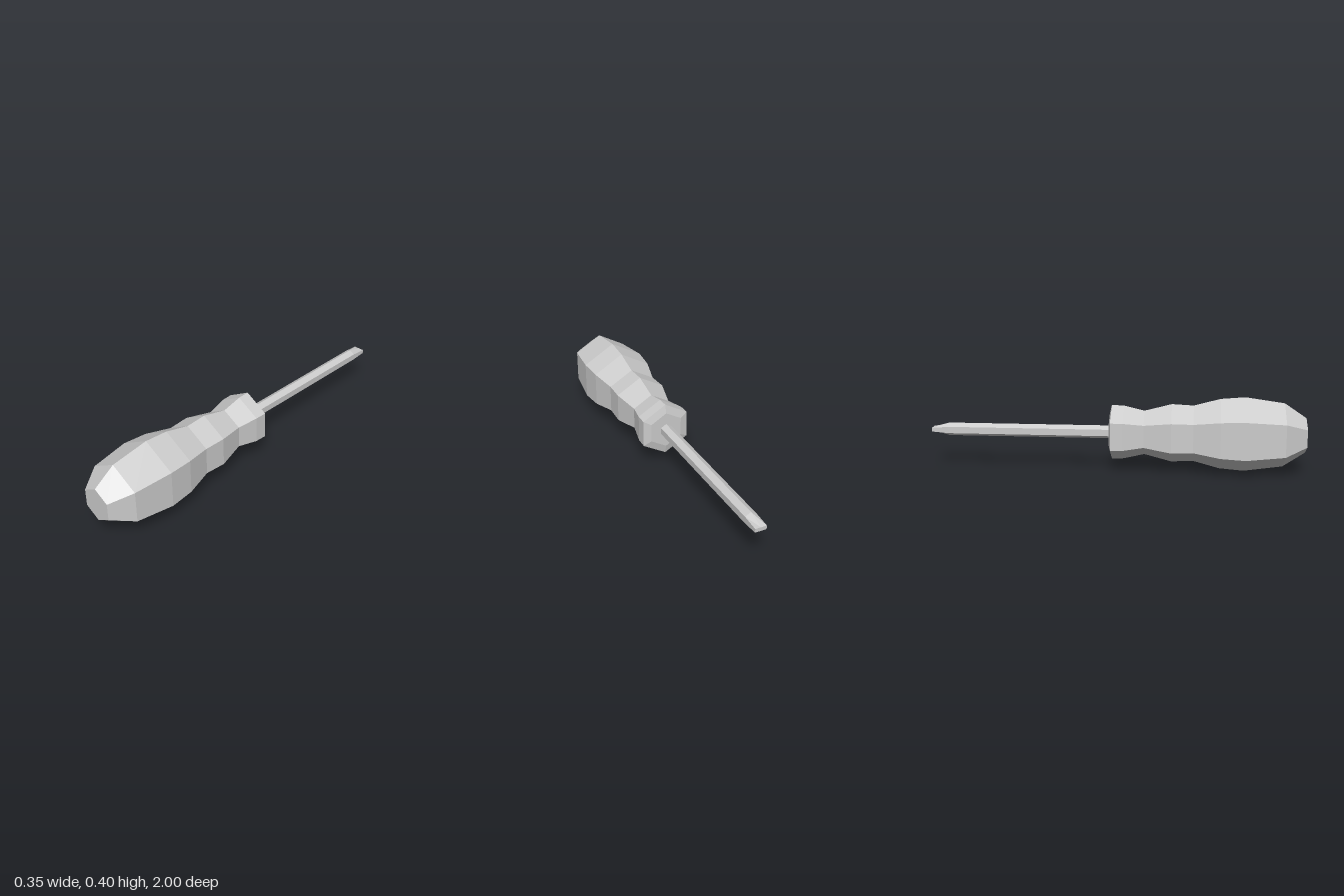
import * as THREE from 'three';

// Six-sided solid along z from [radius, z] pairs in ascending z, ridges up and down
function hexBar(name, profile, axisY) {
  const pts = profile.map(([r, z]) => new THREE.Vector2(r, z));
  const geometry = new THREE.LatheGeometry(pts, 6);
  geometry.rotateX(Math.PI / 2);
  const material = new THREE.MeshStandardMaterial({ color: 0xcccccc, flatShading: true });
  const mesh = new THREE.Mesh(geometry, material);
  mesh.name = name;
  mesh.position.y = axisY;
  return mesh;
}

export function createModel() {
  const group = new THREE.Group();
  group.name = 'screwdriver';
  const axisY = 0.2;

  // Faceted grip with a collar, two waists and a swollen butt
  const handle = hexBar('handle', [
    [0, -0.035], [0.1, -0.035], [0.147, -0.024], [0.145, 0.04], [0.119, 0.15],
    [0.157, 0.295], [0.151, 0.41], [0.189, 0.55], [0.2, 0.68], [0.171, 0.885],
    [0.093, 1], [0, 1],
  ], axisY);

  // Hexagonal shaft running to the blade
  const shaft = hexBar('shaft', [
    [0, -1], [0.035, -1], [0.035, -0.91], [0.035, 0], [0, 0],
  ], axisY);

  // Flatten the far end into a thin blade tip
  const pos = shaft.geometry.attributes.position;
  for (let i = 0; i < pos.count; i++) {
    if (pos.getZ(i) < -0.95) pos.setY(i, THREE.MathUtils.clamp(pos.getY(i), -0.01, 0.01));
  }
  shaft.geometry.computeVertexNormals();

  group.add(handle, shaft);
  return group;
}
